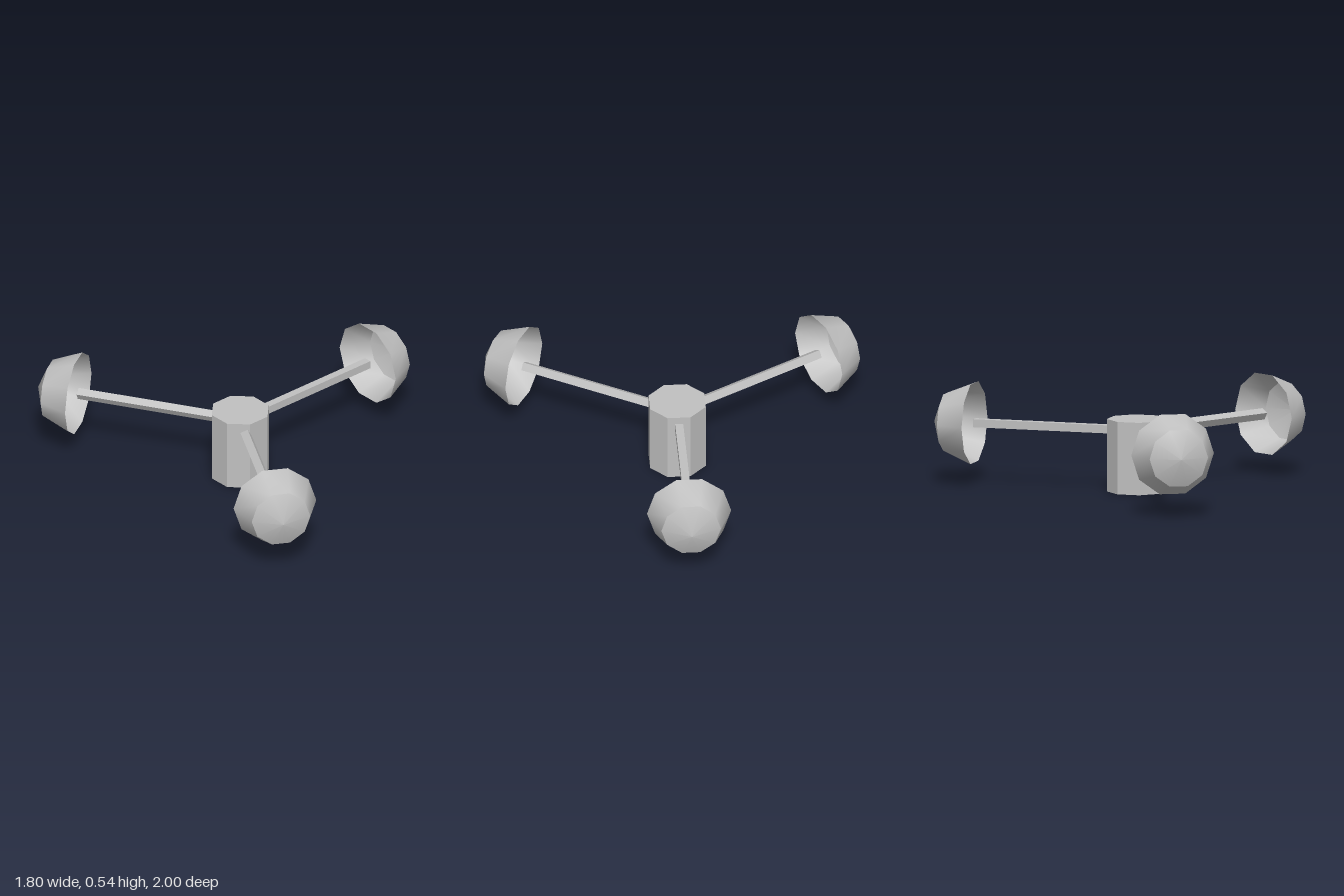
import * as THREE from 'three';
import { toCreasedNormals } from 'three/addons/utils/BufferGeometryUtils.js';

const HUB_X = -0.23;    // the hub sits off centre so the rotor is centred
const HUB_H = 0.388;
const ARM_Y = 0.326;
const ARM_END = 0.905;  // distance from hub axis to cup rim
const ARM_W = 0.043;
const CUP_R = 0.224;

export function createModel() {
  const group = new THREE.Group();
  const grey = new THREE.MeshStandardMaterial({ color: 0xc0c0c0 });
  grey.name = 'grey';
  const greyShell = grey;
  greyShell.side = THREE.DoubleSide;

  const add = (parent, name, geometry) => {
    const mesh = new THREE.Mesh(geometry, grey);
    mesh.name = name;
    parent.add(mesh);
    return mesh;
  };

  // Octagonal hub with flat sides facing the axes
  const hubGeometry = new THREE.CylinderGeometry(0.16, 0.16, HUB_H, 8).rotateY(Math.PI / 8);
  const hub = add(group, 'hub', toCreasedNormals(hubGeometry, 0.6));
  hub.position.set(HUB_X, HUB_H / 2, 0);

  // Open ten-sided cup: half a coarse sphere, bulging along +x
  const profile = [0, 1, 2].map((i) => {
    const a = (i * Math.PI) / 4;
    return new THREE.Vector2(i === 2 ? 0 : CUP_R * Math.cos(a), CUP_R * Math.sin(a));
  });
  const cupGeometry = toCreasedNormals(
    new THREE.LatheGeometry(profile, 10).rotateZ(-Math.PI / 2), 0.7);

  // Square arm from inside the hub to the rim plane of the cup
  const armLength = ARM_END - 0.08;
  const armGeometry = new THREE.BoxGeometry(armLength, ARM_W, ARM_W);

  // Three arms with cups; the two slanted arms are rolled in mirror image
  for (const side of [-1, 0, 1]) {
    const rotor = new THREE.Group();
    rotor.name = 'armWithCup';
    rotor.position.set(HUB_X, ARM_Y, 0);
    rotor.rotation.y = (side * 2 * Math.PI) / 3;
    const arm = add(rotor, 'arm', armGeometry);
    arm.position.x = 0.08 + armLength / 2;
    arm.rotation.x = (-side * Math.PI) / 6;
    const cup = add(rotor, 'cup', cupGeometry);
    cup.position.x = ARM_END;
    group.add(rotor);
  }
  return group;
}
